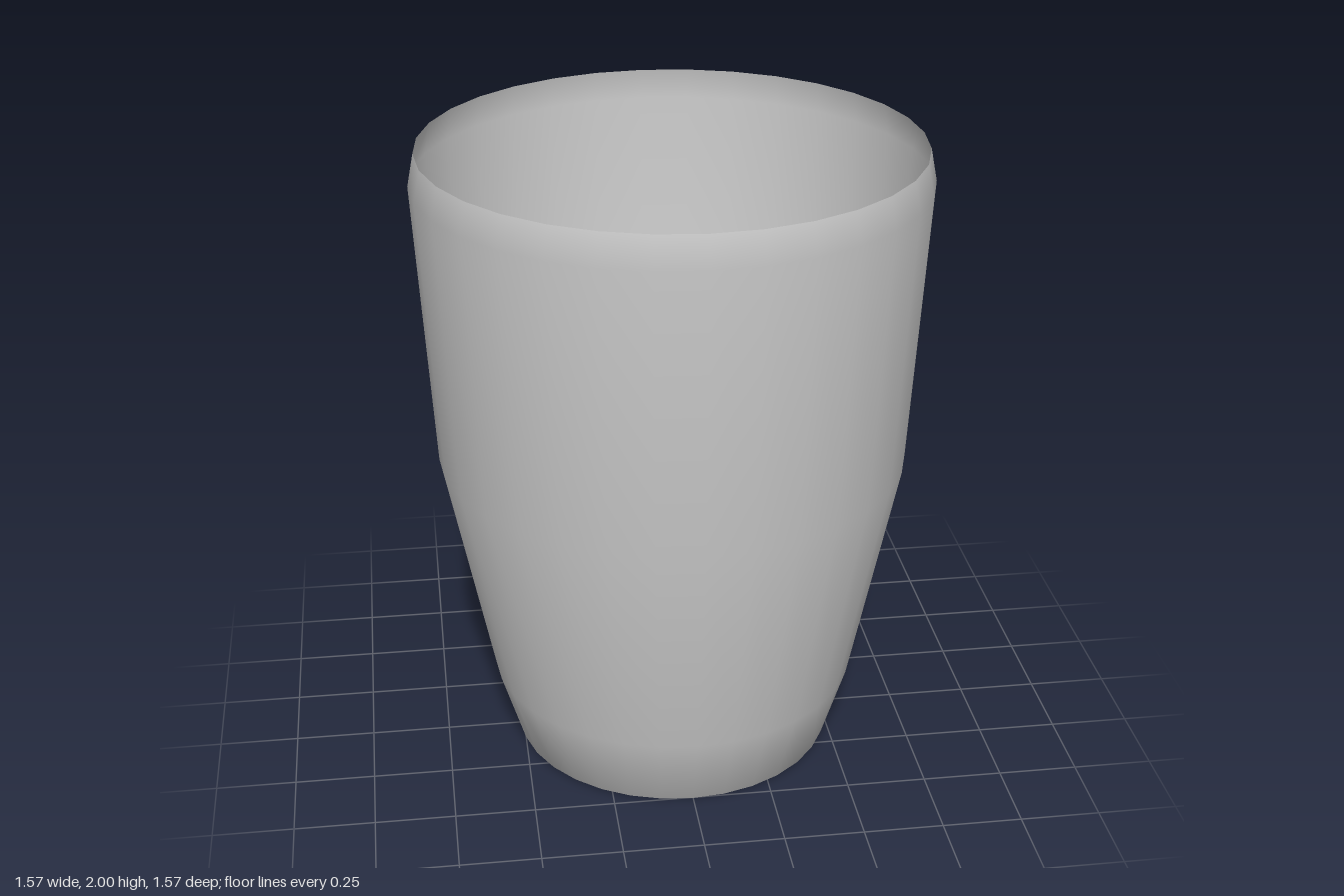
import * as THREE from 'three';

export function createModel() {
  const group = new THREE.Group();
  group.name = 'tumbler';

  // Thin shell profile: flat base, rounded foot, flaring wall, rim tucked in
  const profile = [
    [0, 0], [0.45, 0], [0.51, 0.005], [0.585, 0.25],
    [0.735, 1.0], [0.786, 1.9], [0.766, 2.0],
  ].map(([r, y]) => new THREE.Vector2(r, y));

  // One open surface, seen from inside and outside
  const cup = new THREE.Mesh(
    new THREE.LatheGeometry(profile, 32),
    new THREE.MeshStandardMaterial({ color: 0xcccccc, side: THREE.DoubleSide })
  );
  cup.name = 'cup';
  group.add(cup);

  return group;
}
